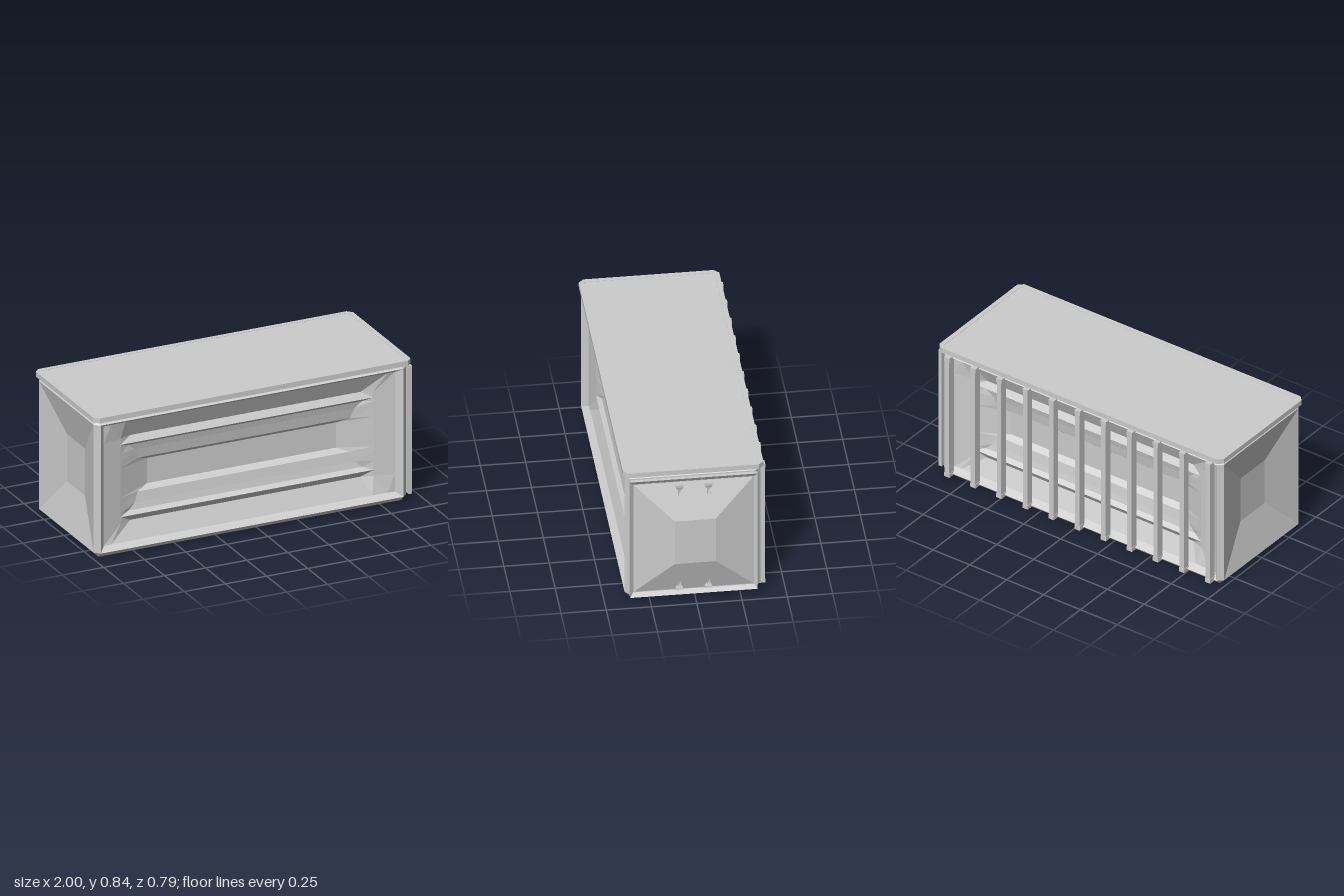
import * as THREE from 'three';

const grey = new THREE.MeshStandardMaterial({ color: 0xcccccc, side: THREE.DoubleSide });
grey.name = 'painted steel grey';

// Flat-faceted geometry from a list of four-cornered faces
function fromQuads(quads) {
  const pos = [];
  for (const [a, b, c, d] of quads) pos.push(...a, ...b, ...c, ...a, ...c, ...d);
  const g = new THREE.BufferGeometry();
  g.setAttribute('position', new THREE.Float32BufferAttribute(pos, 3));
  g.computeVertexNormals();
  return g;
}

// Faces between two closed rings
function band(a, b, keep = () => true) {
  const n = a.length;
  return a.map((p, i) => [p, a[(i + 1) % n], b[(i + 1) % n], b[i]]).filter((q, i) => keep(i));
}

function add(parent, name, geometry, x = 0, y = 0, z = 0) {
  const mesh = new THREE.Mesh(geometry, grey);
  mesh.name = name;
  mesh.position.set(x, y, z);
  parent.add(mesh);
  return mesh;
}

// Upright rectangle facing +x
const rectX = (x, y0, y1, w) => [[x, y0, w], [x, y0, -w], [x, y1, -w], [x, y1, w]];

// Bevelled outer frame, open at front, back and ends
function frameGeometry() {
  const outer = [[0.95, -0.345], [0.92, -0.375], [-0.92, -0.375], [-0.95, -0.345],
    [-0.95, 0.345], [-0.92, 0.375], [0.92, 0.375], [0.95, 0.345]];
  const oct = y => outer.map(([x, z]) => [x, y, z]);
  const rect = y => outer.map(([x, z]) => [Math.sign(x) * 0.92, y, Math.sign(z) * 0.345]);
  const cap = r => [r[1], r[3], r[5], r[7]];
  const bottom = rect(0), top = rect(0.81);
  return fromQuads([
    ...band(bottom, oct(0.03)),
    ...band(oct(0.03), oct(0.79), i => i % 2 === 0),
    ...band(oct(0.79), top),
    cap(top), cap(bottom).reverse(),
  ]);
}

// Recessed long wall, mirrored about mid height: [height from middle, z, half length]
function sideGeometry() {
  const upper = [[0.38, 0.375, 0.92], [0.355, 0.335, 0.75], [0.252, 0.288, 0.70], [0.215, 0.312, 0.765],
    [0.195, 0.288, 0.71], [0.16, 0.28, 0.67], [0.10, 0.27, 0.645], [0.075, 0.24, 0.575]];
  const rows = [...upper, ...upper.map(([d, z, l]) => [-d, z, l]).reverse()];
  const grid = rows.map(([d, z, l], j) => {
    const y = 0.41 + d, edge = Math.min(j, rows.length - 1 - j);
    // End wall: steep lip, then a shallow slope down to the row ends
    const [x1, z1] = edge ? [0.885, 0.338] : [0.92, 0.375];
    const [x2, z2] = [[0.92, 0.375], [0.84, 0.337]][edge] ?? [0.77, 0.312];
    const half = [[0.92, 0.375], [x1, z1], [x2, z2], [l, z]];
    return [...half.map(([x, w]) => [-x, y, w]), ...half.reverse().map(([x, w]) => [x, y, w])];
  });
  const quads = [];
  for (let j = 0; j + 1 < grid.length; j++)
    for (let i = 0; i < 7; i++) quads.push([grid[j + 1][i], grid[j + 1][i + 1], grid[j][i + 1], grid[j][i]]);
  return fromQuads(quads);
}

// Rectangle rings along x, closed by the last one
function steppedGeometry(rings) {
  const quads = [rings.at(-1)];
  for (let i = 0; i + 1 < rings.length; i++) quads.push(...band(rings[i], rings[i + 1]));
  return fromQuads(quads);
}

// Lid outline with cut corners
function cutRect(path, w, d, c) {
  path.moveTo(-w + c, -d);
  for (const [x, y] of [[w - c, -d], [w, -d + c], [w, d - c], [w - c, d], [-w + c, d], [-w, d - c], [-w, -d + c]])
    path.lineTo(x, y);
  path.closePath();
  return path;
}

// Small latch: wedge head overhanging a forked tail
function latchGeometry() {
  const wall = [[-0.005, 0.03, -0.021], [-0.005, 0.03, 0.021], [-0.005, 0.005, 0.009], [-0.005, 0.005, -0.009]];
  const lip = [[0.02, 0.03, -0.021], [0.02, 0.03, 0.021], [0.016, 0.02, 0.021], [0.016, 0.02, -0.021]];
  const neck = [[0.004, 0.003, -0.009], [0.004, 0.003, 0.009]];
  const quads = [
    [wall[1], lip[1], lip[0], wall[0]],
    [lip[0], lip[1], lip[2], lip[3]],
    [lip[3], lip[2], neck[1], neck[0]],
    [wall[1], neck[1], lip[2], lip[1]],
    [wall[0], lip[0], lip[3], neck[0]],
  ];
  for (const s of [-1, 1]) {
    const tip = [0.004, -0.031, s * 0.008], root = [0.012, 0.008, s * 0.008];
    const inner = [0.004, -0.008, 0], base = [-0.004, 0.006, s * 0.009];
    quads.push([root, tip, inner, [0.012, 0.008, 0]], [root, base, [-0.004, -0.031, s * 0.009], tip]);
  }
  return fromQuads(quads);
}

export function createModel() {
  const model = new THREE.Group();
  model.name = 'container';
  const body = new THREE.Group();
  body.name = 'body';
  body.position.set(-0.04, 0, 0.0085);
  model.add(body);

  add(body, 'frame', frameGeometry());
  add(body, 'frontWall', sideGeometry());
  add(body, 'backWall', sideGeometry().rotateY(Math.PI));

  // Dented right end and plain closing plate under the left end panel
  add(body, 'dentedEnd', steppedGeometry([rectX(0.95, 0.03, 0.79, 0.345), rectX(0.89, 0.27, 0.55, 0.113)]).rotateY(Math.PI));
  add(body, 'endPlate', fromQuads([rectX(0.95, 0.03, 0.79, 0.345)]));

  // Protruding end panel
  add(body, 'panelSpacer', new THREE.BoxGeometry(0.03, 0.71, 0.66), 0.954, 0.41, 0);
  add(body, 'endPanel', steppedGeometry([
    rectX(0.962, 0.055, 0.765, 0.325), rectX(0.962, 0.03, 0.79, 0.352), rectX(0.984, 0.03, 0.79, 0.352),
    rectX(0.968, 0.057, 0.765, 0.333), rectX(1.04, 0.27, 0.55, 0.113)]));

  // Four latches, lower pair flipped
  for (const flip of [0, Math.PI]) {
    const pair = new THREE.Group();
    pair.name = flip ? 'lowerLatches' : 'upperLatches';
    pair.position.y = 0.41;
    pair.rotation.x = flip;
    for (const z of [-0.08, 0.08]) add(pair, 'latch', latchGeometry(), 0.986, 0.306, z).rotation.z = 0.32;
    body.add(pair);
  }

  // Lid with a raised border
  const rim = cutRect(new THREE.Shape(), 0.965, 0.388, 0.028);
  rim.holes.push(cutRect(new THREE.Path(), 0.938, 0.361, 0.012));
  const rimGeo = new THREE.ExtrudeGeometry(rim, { depth: 0.03, bevelEnabled: false }).rotateX(-Math.PI / 2);
  add(model, 'lidRim', rimGeo, -0.035, 0.81, 0.0075);
  add(model, 'lidPanel', new THREE.BoxGeometry(1.88, 0.028, 0.724), -0.035, 0.824, 0.0075);

  // Vertical bars with end clamps along the back
  for (let i = 0; i < 11; i++) {
    const bar = new THREE.Group();
    bar.name = 'backBar';
    bar.position.x = -0.92 + 0.177 * i;
    add(bar, 'bar', new THREE.BoxGeometry(0.03, 0.74, 0.045), 0, 0.41, -0.3715);
    for (const y of [0.03, 0.787]) add(bar, 'clamp', new THREE.BoxGeometry(0.036, 0.026, 0.045), 0, y, -0.3725);
    model.add(bar);
  }
  return model;
}
